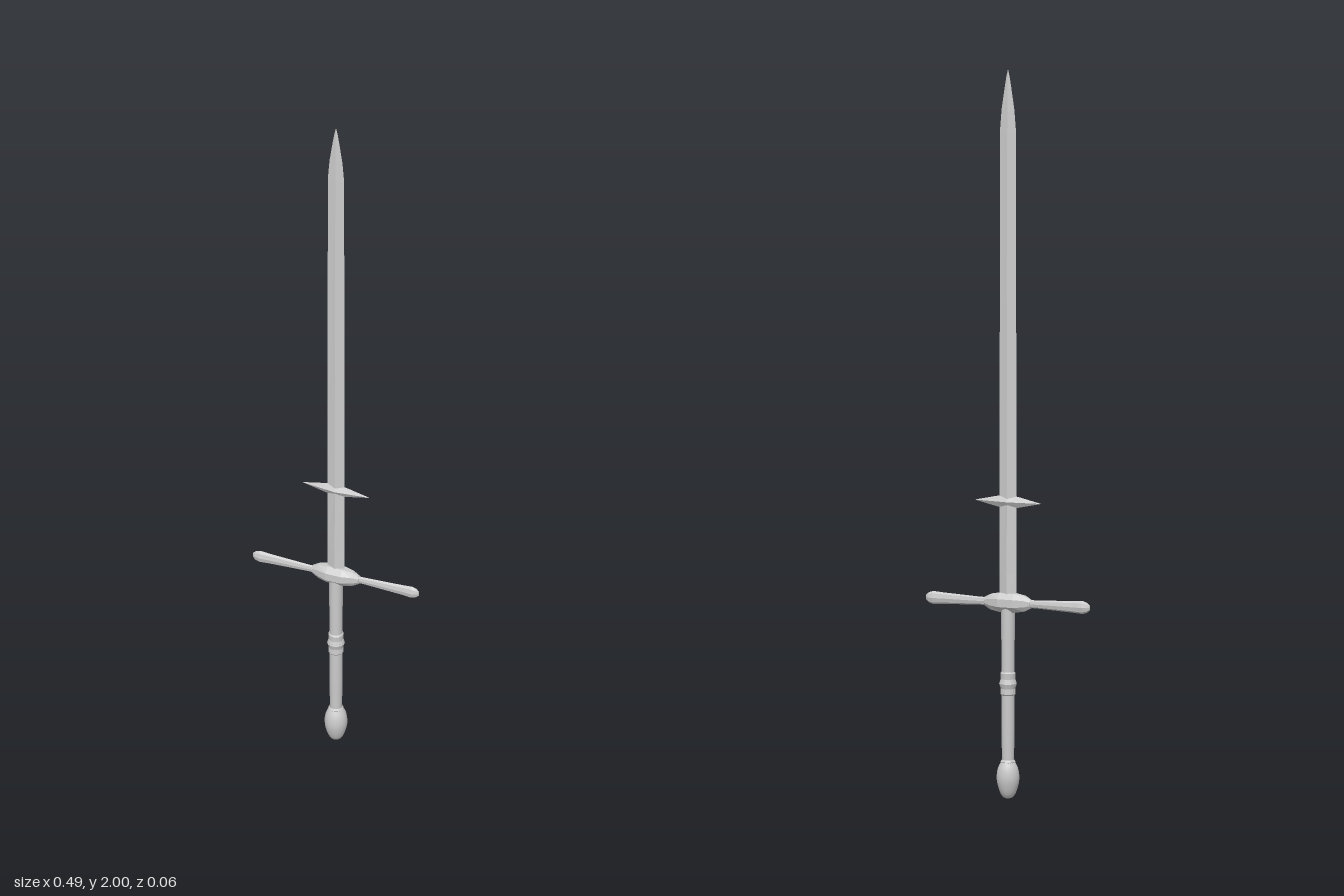
import * as THREE from 'three';

const steel = new THREE.MeshStandardMaterial({ color: 0xcccccc, flatShading: true });
const smooth = new THREE.MeshStandardMaterial({ color: 0xcccccc });

// Solid along +y through sections [position, halfWidth, halfDepth]
function loft(sections, sides, turn = 0) {
  const rows = sections.length - 1;
  const geo = new THREE.CylinderGeometry(1, 1, 1, sides, rows, false, turn);
  const p = geo.attributes.position;
  for (let i = 0; i < p.count; i++) {
    const [y, a, b] = sections[Math.round((p.getY(i) + 0.5) * rows)];
    p.setXYZ(i, p.getX(i) * a, y, p.getZ(i) * b);
  }
  geo.computeVertexNormals();
  return geo;
}

function lathe(points, sides) {
  return new THREE.LatheGeometry(points.map(([r, y]) => new THREE.Vector2(r, y)), sides);
}

export function createModel() {
  const sword = new THREE.Group();
  sword.name = 'sword';
  const add = (name, geo, mat = steel) => {
    const mesh = new THREE.Mesh(geo, mat);
    mesh.name = name;
    sword.add(mesh);
    return mesh;
  };

  // Diamond-section blade, thicker near the guard, with a curved point
  add('blade', loft([
    [0.54, 0.025, 0.012], [0.62, 0.025, 0.010], [0.82, 0.025, 0.007],
    [1.83, 0.024, 0.005], [1.89, 0.019, 0.004], [1.95, 0.010, 0.003],
    [1.98, 0.005, 0.002], [2.0, 0.0004, 0.0004],
  ], 4));

  // Hub of the crossguard
  const hub = loft([
    [-0.068, 0.013, 0.008], [-0.05, 0.023, 0.015], [-0.022, 0.028, 0.025],
    [0.022, 0.028, 0.025], [0.05, 0.023, 0.015], [0.068, 0.013, 0.008],
  ], 8, Math.PI / 8).rotateZ(-Math.PI / 2);
  add('guardHub', hub).position.y = 0.54;

  // Guard arms and blade lugs, one pair each
  for (const side of ['left', 'right']) {
    const turn = side === 'left' ? 0 : Math.PI;
    const arm = add(side + 'GuardArm', loft([
      [0.03, 0.012, 0.007], [0.08, 0.011, 0.006], [0.195, 0.016, 0.009],
      [0.222, 0.018, 0.011], [0.235, 0.014, 0.008], [0.243, 0.007, 0.003],
    ], 8).rotateZ(-Math.PI / 2));
    arm.position.y = 0.54;
    arm.rotation.y = turn;

    const lug = add(side + 'BladeLug', loft([
      [0, 0.020, 0.012], [0.035, 0.014, 0.008], [0.097, 0.0005, 0.0005],
    ], 4).rotateZ(-Math.PI / 2));
    lug.position.y = 0.816;
    lug.rotation.y = turn;
  }

  // Grip with a raised ring at mid length
  add('grip', lathe([[0.016, 0.09], [0.018, 0.2], [0.018, 0.4], [0.019, 0.53]], 16), smooth);
  add('gripRing', lathe([
    [0.017, 0.285], [0.021, 0.29], [0.020, 0.305], [0.024, 0.318],
    [0.020, 0.331], [0.021, 0.347], [0.017, 0.352],
  ], 16));

  // Pear-shaped pommel
  const pommel = new THREE.SplineCurve([
    [0, 0.003], [0.014, 0.008], [0.024, 0.026], [0.031, 0.056], [0.028, 0.085], [0.018, 0.106],
  ].map(([r, y]) => new THREE.Vector2(r, y))).getPoints(16);
  pommel[0].x = 0;
  add('pommel', new THREE.LatheGeometry(pommel, 20), smooth);
  add('pommelCollar', lathe([[0.018, 0.10], [0.021, 0.104], [0.017, 0.11]], 16));

  return sword;
}
